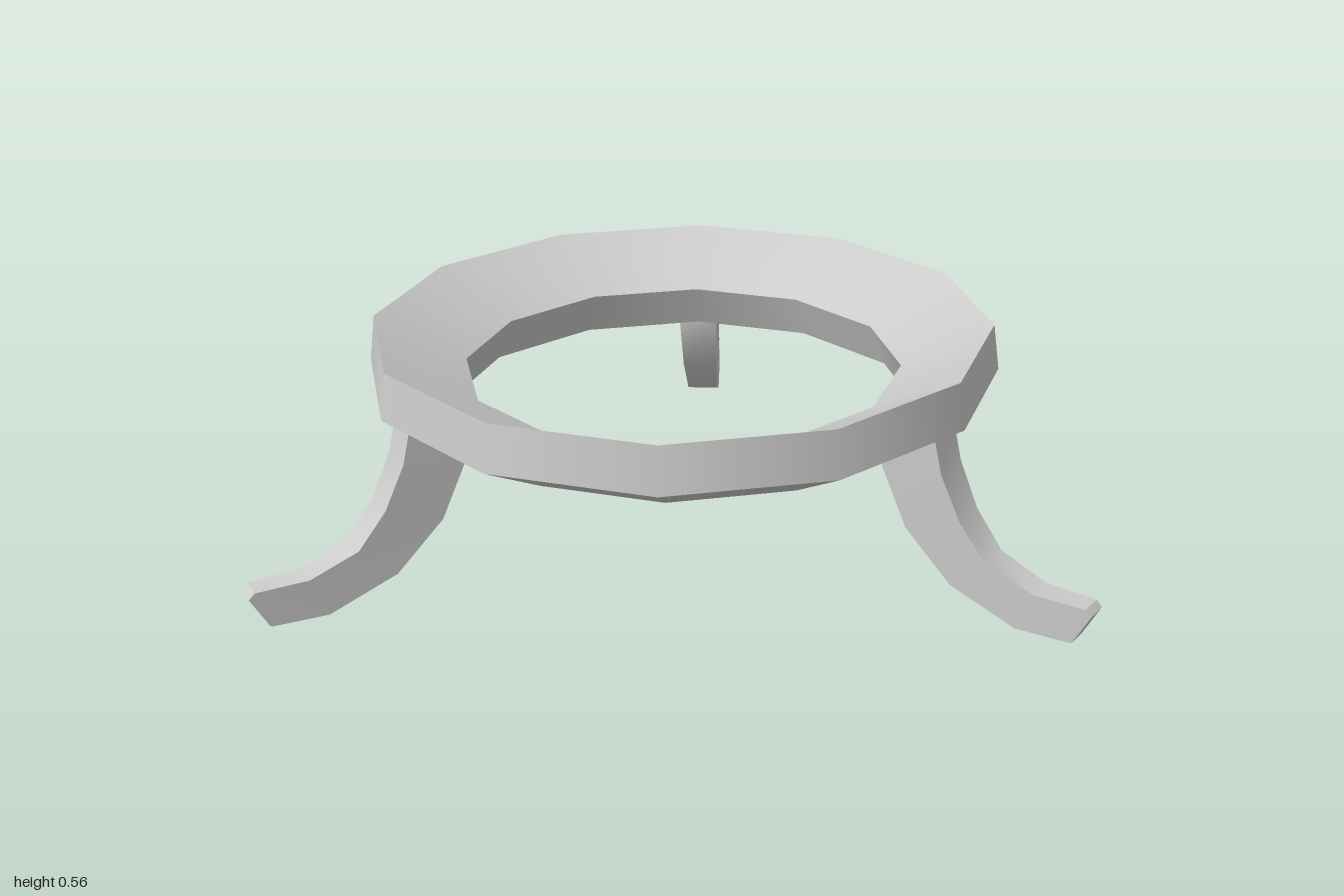
import * as THREE from 'three';
import { mergeGeometries, toCreasedNormals } from 'three/addons/utils/BufferGeometryUtils.js';

const CENTRE_X = -0.18;

// Closed ring profile as [radius, height]; each side is lathed separately to keep its edges sharp
function ringGeometry() {
  const profile = [[0.585, 0.345], [0.78, 0.45], [0.765, 0.565], [0.54, 0.455]];
  const bands = profile.map((p, i) => {
    const q = profile[(i + 1) % profile.length];
    return new THREE.LatheGeometry([new THREE.Vector2(...p), new THREE.Vector2(...q)], 12);
  });
  return mergeGeometries(bands);
}

// Curved leg swept outward along +x, distances measured from the ring's axis
function legGeometry() {
  // [upper x, upper y, lower x, lower y, half width]
  const sections = [
    [0.73, 0.435, 0.6, 0.37, 0.05],
    [0.75, 0.35, 0.595, 0.335, 0.05],
    [0.8, 0.24, 0.66, 0.19, 0.046],
    [0.87, 0.15, 0.78, 0.07, 0.042],
    [0.99, 0.1, 0.95, 0, 0.036],
    [1.12, 0.095, 1.085, 0, 0.031],
    [1.135, 0.08, 1.092, 0.002, 0.03],
  ];
  const positions = [];
  const index = [];
  for (const [ux, uy, lx, ly, h] of sections) {
    positions.push(ux, uy, h, lx, ly, h, lx, ly, -h, ux, uy, -h);
  }
  const last = (sections.length - 1) * 4;
  for (let s = 0; s < last; s += 4) {
    for (let k = 0; k < 4; k++) {
      const n = (k + 1) % 4;
      index.push(s + k, s + n, s + 4 + n, s + k, s + 4 + n, s + 4 + k);
    }
  }
  // End caps
  index.push(0, 2, 1, 0, 3, 2, last, last + 1, last + 2, last, last + 2, last + 3);

  const geometry = new THREE.BufferGeometry();
  geometry.setAttribute('position', new THREE.Float32BufferAttribute(positions, 3));
  geometry.setIndex(index);
  return toCreasedNormals(geometry, THREE.MathUtils.degToRad(40));
}

export function createModel() {
  const model = new THREE.Group();
  model.name = 'tripodRingStand';
  const material = new THREE.MeshStandardMaterial({ color: 0xcccccc });

  // Twelve-sided ring
  const ring = new THREE.Mesh(ringGeometry(), material);
  ring.name = 'ring';
  ring.position.x = CENTRE_X;
  model.add(ring);

  // Three legs spaced evenly under the ring
  const legShape = legGeometry();
  ['leftLeg', 'backRightLeg', 'frontRightLeg'].forEach((name, i) => {
    const leg = new THREE.Mesh(legShape, material);
    leg.name = name;
    leg.position.x = CENTRE_X;
    leg.rotation.y = (i * Math.PI * 2) / 3;
    model.add(leg);
  });

  return model;
}
